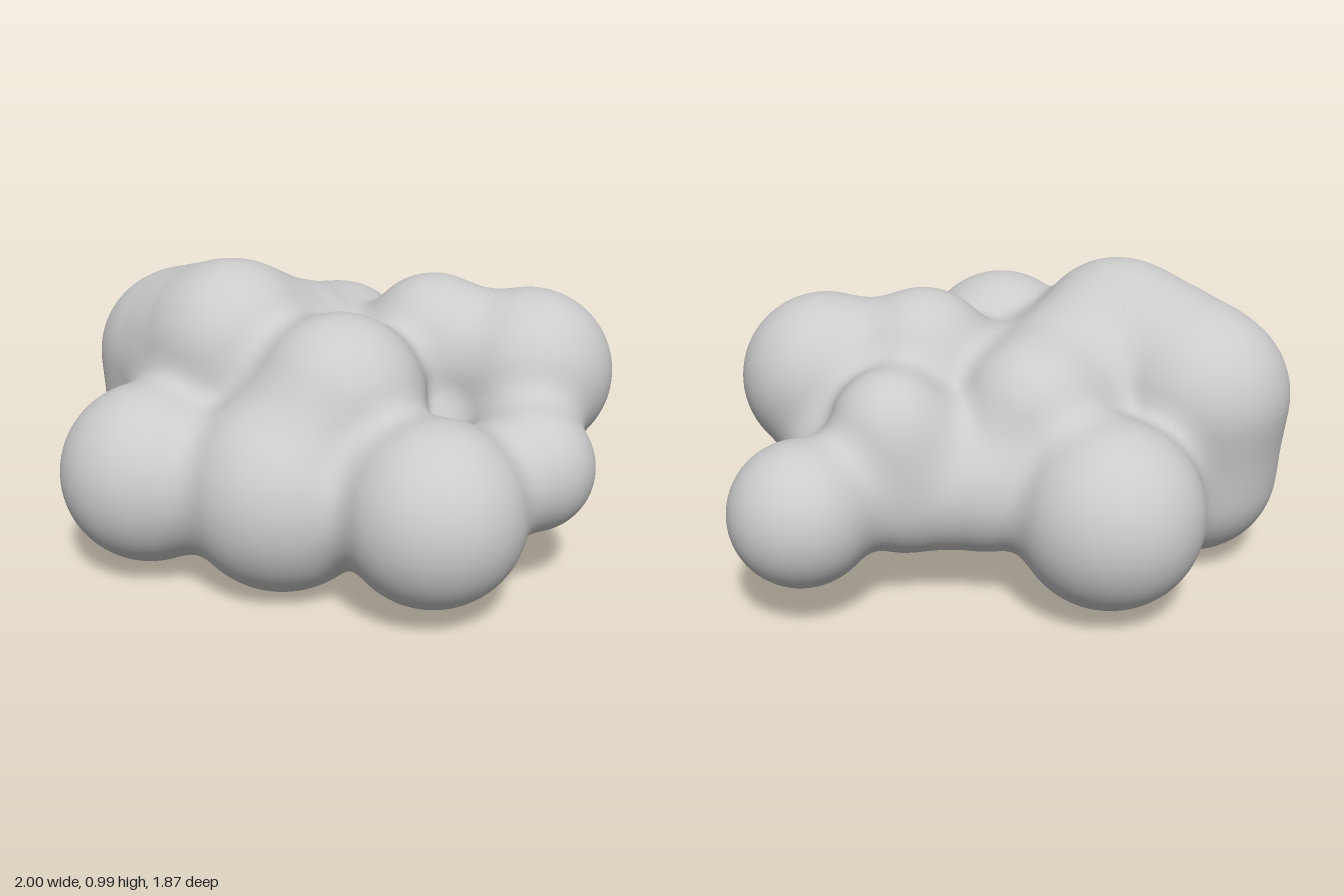
import * as THREE from 'three';

// Puffs of the cloud: x, y, z, radius
const PUFFS = [
  [-0.70, 0.34, 0.16, 0.30],   // outer left
  [-0.28, 0.335, 0.35, 0.335], // front, low
  [-0.09, 0.60, 0.28, 0.285],  // front, high
  [-0.40, 0.70, -0.06, 0.29],  // peak
  [-0.57, 0.59, -0.36, 0.30],  // back corner, high
  [-0.49, 0.64, -0.21, 0.275], // ridge from peak to back corner
  [-0.57, 0.32, -0.33, 0.29],  // back corner, low
  [-0.14, 0.34, -0.64, 0.30],  // back
  [0.00, 0.58, -0.33, 0.25],   // middle, behind
  [-0.17, 0.62, -0.17, 0.25],  // ridge from peak to middle
  [-0.05, 0.50, -0.02, 0.25],  // plateau behind the front puff
  [0.05, 0.35, -0.05, 0.27],   // core
  [-0.33, 0.38, -0.08, 0.30],  // core, side
  [0.42, 0.38, -0.29, 0.23],   // neck to the small puff
  [0.18, 0.38, -0.38, 0.22],   // back filler
  [0.46, 0.57, -0.30, 0.195],  // small bump, high
  [0.77, 0.36, -0.38, 0.23],   // small outer puff
  [0.28, 0.69, -0.01, 0.24],   // second peak
  [0.58, 0.62, 0.13, 0.283],   // large side puff
  [0.47, 0.37, 0.14, 0.225],   // under the side puff
  [0.52, 0.38, -0.08, 0.225],  // between side puff and neck
  [0.24, 0.40, 0.09, 0.19],    // under the second peak
  [0.50, 0.41, 0.47, 0.21],    // small front puff
  [0.15, 0.35, 0.64, 0.295],   // front puff
];
const BLEND = 0.11;

// Signed distance to the softly joined puffs
function field(x, y, z) {
  let d = 10;
  for (const [px, py, pz, r] of PUFFS) {
    const s = Math.hypot(x - px, y - py, z - pz) - r;
    const h = Math.max(BLEND - Math.abs(d - s), 0) / BLEND;
    d = Math.min(d, s) - h * h * BLEND * 0.25;
  }
  return d;
}

function gradient(p) {
  const e = 0.002, [x, y, z] = p;
  return new THREE.Vector3(
    field(x + e, y, z) - field(x - e, y, z),
    field(x, y + e, z) - field(x, y - e, z),
    field(x, y, z + e) - field(x, y, z - e)).normalize();
}

// Skin the field: one vertex per crossed cell, one quad per crossed grid edge
function skinGeometry() {
  const step = 0.021, min = [-1.06, -0.06, -1.0], size = [102, 54, 96];
  const [nx, ny, nz] = size;
  const stride = [1, nx, nx * ny];
  const values = new Float32Array(nx * ny * nz);
  const cellVertex = new Int32Array(values.length).fill(-1);
  const positions = [], normals = [], indices = [];
  const at = (i, j, k) => i + nx * (j + ny * k);

  for (let k = 0; k < nz; k++)
    for (let j = 0; j < ny; j++)
      for (let i = 0; i < nx; i++)
        values[at(i, j, k)] = field(min[0] + i * step, min[1] + j * step, min[2] + k * step);

  // Vertices, pulled onto the surface
  for (let k = 0; k < nz - 1; k++)
    for (let j = 0; j < ny - 1; j++)
      for (let i = 0; i < nx - 1; i++) {
        const c = at(i, j, k);
        let inside = 0;
        for (let b = 0; b < 8; b++)
          if (values[c + (b & 1) + ((b >> 1) & 1) * nx + (b >> 2) * nx * ny] < 0) inside++;
        if (inside === 0 || inside === 8) continue;
        const p = [i, j, k].map((n, a) => min[a] + (n + 0.5) * step);
        for (let pass = 0; pass < 3; pass++) {
          const g = gradient(p);
          const d = THREE.MathUtils.clamp(field(...p), -step, step);
          p[0] -= g.x * d; p[1] -= g.y * d; p[2] -= g.z * d;
        }
        cellVertex[c] = positions.length / 3;
        positions.push(...p);
        normals.push(...gradient(p).toArray());
      }

  // Quads around every edge where the sign changes
  for (let k = 1; k < nz - 1; k++)
    for (let j = 1; j < ny - 1; j++)
      for (let i = 1; i < nx - 1; i++) {
        const c = at(i, j, k);
        for (let a = 0; a < 3; a++) {
          const here = values[c] < 0;
          if (here === values[c + stride[a]] < 0) continue;
          const u = stride[(a + 1) % 3], v = stride[(a + 2) % 3];
          const q = [c - u - v, c - v, c, c - u].map(n => cellVertex[n]);
          if (!here) q.reverse();
          indices.push(q[0], q[1], q[2], q[0], q[2], q[3]);
        }
      }

  const geometry = new THREE.BufferGeometry();
  geometry.setAttribute('position', new THREE.Float32BufferAttribute(positions, 3));
  geometry.setAttribute('normal', new THREE.Float32BufferAttribute(normals, 3));
  geometry.setIndex(indices);
  return geometry;
}

export function createModel() {
  const group = new THREE.Group();
  group.name = 'cloud';
  const cloud = new THREE.Mesh(skinGeometry(),
    new THREE.MeshStandardMaterial({ color: 0xcccccc }));
  cloud.name = 'cloudPuffs';
  group.add(cloud);
  return group;
}
